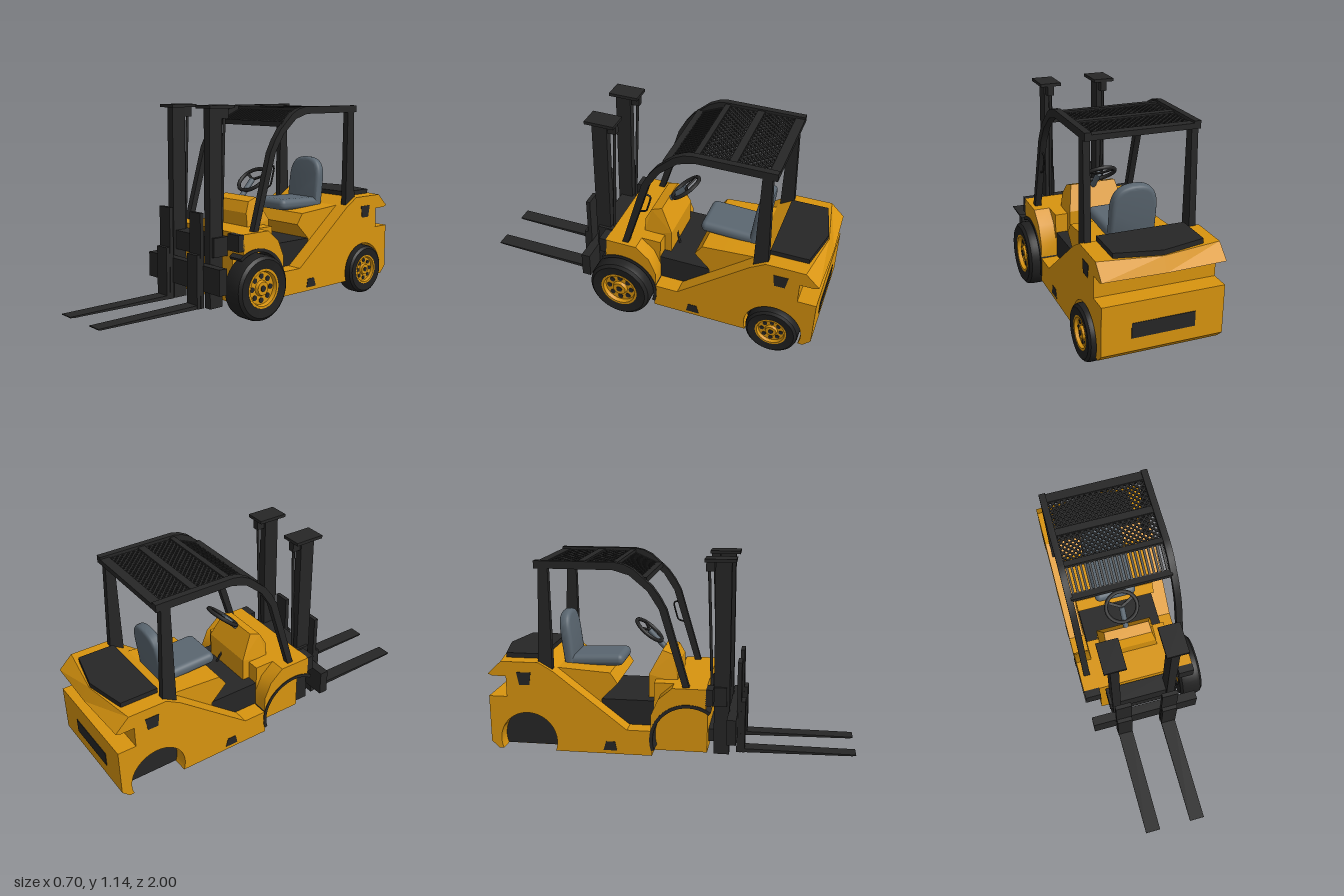
import * as THREE from 'three';
import { toCreasedNormals } from 'three/addons/utils/BufferGeometryUtils.js';
import { RoundedBoxGeometry } from 'three/addons/geometries/RoundedBoxGeometry.js';

export function createModel() {
  const mat = (name, color) => {
    const m = new THREE.MeshStandardMaterial({ color });
    m.name = name;
    return m;
  };
  const yellow = mat('bodyYellow', 0xd8940f);
  const dark = mat('frameBlack', 0x262626);
  const rubber = mat('tyreRubber', 0x202020);
  const grey = mat('seatGrey', 0x5a6670);

  const model = new THREE.Group();
  model.name = 'forklift';
  const truck = new THREE.Group(); // everything is laid out around the truck's centre line
  truck.name = 'truck';
  truck.position.x = -0.0325;
  model.add(truck);

  const add = (name, geo, material, parent = truck) => {
    const m = new THREE.Mesh(geo, material);
    m.name = name;
    parent.add(m);
    return m;
  };
  // box from min/max ranges
  const box = (name, [x0, x1], [y0, y1], [z0, z1], material) => {
    const m = add(name, new THREE.BoxGeometry(x1 - x0, y1 - y0, z1 - z0), material);
    m.position.set((x0 + x1) / 2, (y0 + y1) / 2, (z0 + z1) / 2);
    return m;
  };
  const outline = (pts) => new THREE.Shape(pts.map(([z, y]) => new THREE.Vector2(z, y)));
  // side profile in (z, y) extruded from x0 to x1
  const slab = (shape, x0, x1, steps = 1) => {
    const g = new THREE.ExtrudeGeometry(shape, { depth: x1 - x0, steps, bevelEnabled: false, curveSegments: 24 });
    return toCreasedNormals(g.rotateY(-Math.PI / 2).translate(x1, 0, 0), 0.5);
  };
  const rod = (name, a, b, r, material, sides = 12) => {
    const from = new THREE.Vector3(...a), to = new THREE.Vector3(...b);
    const m = add(name, new THREE.CylinderGeometry(r, r, from.distanceTo(to), sides), material);
    m.position.copy(from).lerp(to, 0.5);
    m.quaternion.setFromUnitVectors(new THREE.Vector3(0, 1, 0), to.sub(from).normalize());
    return m;
  };

  const W = 0.3175, IN = 0.23; // outer and inner half widths
  const frontAxle = [0.105, 0.18], rearAxle = [-0.77, 0.145];

  // centre body: seat base, counterweight and front block
  add('centreBody', slab(outline([[-0.09, 0.09], [-0.09, 0.23], [-0.38, 0.23], [-0.38, 0.37], [-0.29, 0.46],
    [-0.33, 0.52], [-0.62, 0.54], [-0.885, 0.52], [-0.885, 0.39], [-0.985, 0.39], [-0.985, 0.13], [-0.945, 0.09]]), -IN, IN), yellow);
  box('frontBody', [-IN, IN], [0.09, 0.475], [-0.09, 0.2], yellow);
  box('footwell', [-0.225, 0.225], [0.23, 0.37], [-0.38, -0.09], dark);
  box('rearSlot', [-0.165, 0.165], [0.2, 0.28], [-0.988, -0.98], dark);

  // rear hood cap, pointed at the middle of its back edge
  const cap = slab(outline([[-0.62, 0.54], [-0.7, 0.587], [-0.96, 0.587], [-0.995, 0.515], [-0.97, 0.505], [-0.7, 0.505]]), -W, W, 2);
  const cp = cap.attributes.position;
  for (let i = 0; i < cp.count; i++) {
    if (cp.getZ(i) > -0.9) continue;
    const u = Math.abs(cp.getX(i)) / W;
    cp.setZ(i, cp.getZ(i) + u * (cp.getY(i) > 0.55 ? 0.05 : 0.01));
  }
  add('hoodCap', toCreasedNormals(cap, 0.3), yellow);
  const lid = new THREE.ExtrudeGeometry(outline([[-0.232, 0.7], [0.232, 0.7], [0.232, 0.905], [0, 0.955], [-0.232, 0.905]]),
    { depth: 0.03, bevelEnabled: false });
  add('hoodLid', lid.rotateX(-Math.PI / 2).translate(0, 0.583, 0), dark);

  // dashboard cowl, narrowing upwards
  const cowl = slab(outline([[0.03, 0.46], [0.03, 0.55], [0, 0.61], [-0.06, 0.63], [-0.13, 0.5], [-0.13, 0.36], [-0.05, 0.36]]), -0.16, 0.16);
  const kp = cowl.attributes.position;
  for (let i = 0; i < kp.count; i++) kp.setX(i, kp.getX(i) * (1 - Math.max(0, kp.getY(i) - 0.5) * 1.5));
  cowl.computeVertexNormals();
  add('dashCowl', cowl, yellow);

  // side bodies, fenders and pillars, mirrored
  const sideShape = outline([[-0.614, 0.09], [-0.09, 0.09], [-0.09, 0.23], [-0.225, 0.23], [-0.62, 0.54], [-0.885, 0.54],
    [-0.885, 0.39], [-0.985, 0.39], [-0.985, 0.13], [-0.945, 0.09]]);
  sideShape.absarc(...rearAxle, 0.158, Math.PI + 0.355, -0.355, true);
  const linerShape = new THREE.Shape();
  linerShape.absarc(...rearAxle, 0.158, -0.34, Math.PI + 0.34, false);
  const fenderShape = outline([[0.2, 0.36], [0.2, 0.475], [0.02, 0.475], [-0.055, 0.41], [-0.095, 0.32], [-0.095, 0.22]]);
  fenderShape.absarc(...frontAxle, 0.2, Math.PI - 0.2, 1.08, true);
  const lipShape = new THREE.Shape();
  lipShape.absarc(...frontAxle, 0.208, 0.95, Math.PI + 0.3, false);
  lipShape.absarc(...frontAxle, 0.19, Math.PI + 0.3, 0.95, true);
  const guardShape = outline([[0.11, 0.47], [-0.01, 0.89], [-0.045, 0.955], [-0.085, 1.01], [-0.18, 1.095], [-0.23, 1.12], [-0.28, 1.13], [-0.71, 1.13],
    [-0.71, 1.09], [-0.29, 1.09], [-0.205, 1.065], [-0.11, 0.985], [-0.05, 0.89], [0.075, 0.47]]);
  const rearPost = outline([[-0.635, 1.1], [-0.685, 1.1], [-0.71, 0.53], [-0.63, 0.53]]);
  const pocket = outline([[-0.28, 0.11], [-0.29, 0.16], [-0.34, 0.16], [-0.355, 0.11]]);
  const vent = outline([[-0.745, 0.53], [-0.825, 0.53], [-0.812, 0.46], [-0.755, 0.46]]);

  for (const s of [-1, 1]) {
    const side = (name, shape, a, b, material) =>
      add(name, slab(shape, Math.min(s * a, s * b), Math.max(s * a, s * b)), material);
    side('sideBody', sideShape, IN, W, yellow);
    side('rearWheelWell', linerShape, IN - 0.002, IN + 0.004, dark);
    side('frontFender', fenderShape, IN, W, yellow);
    side('fenderLip', lipShape, IN + 0.001, W + 0.004, dark);
    side('sidePocket', pocket, W - 0.004, W + 0.002, dark);
    side('sideVent', vent, W - 0.004, W + 0.002, dark);
    side('guardRail', guardShape, 0.26, 0.295, dark);
    side('guardRearPost', rearPost, 0.26, 0.295, dark);
    const x = (a, b) => [Math.min(s * a, s * b), Math.max(s * a, s * b)];
    box('mudFlap', x(IN, W), [0.385, 0.475], [0.195, 0.237], dark);

    // mast, chains and forks
    box('mastUpright', x(0.134, 0.18), [0.065, 1.13], [0.23, 0.315], dark);
    box('mastCap', x(0.1, 0.215), [1.128, 1.145], [0.175, 0.34], dark);
    box('chainAnchor', x(0.14, 0.175), [1.075, 1.13], [0.18, 0.225], dark);
    rod('liftChain', [s * 0.157, 1.1, 0.195], [s * 0.157, 0.42, 0.217], 0.008, dark);
    box('forkShank', x(0.087, 0.178), [0.08, 0.59], [0.355, 0.378], dark);
    box('forkHeel', x(0.09, 0.176), [0.08, 0.37], [0.37, 0.4], dark);
    const blade = outline([[0.37, 0.08], [0.98, 0.09], [1, 0.093], [1, 0.098], [0.37, 0.101]]);
    side('forkBlade', blade, 0.09, 0.174, dark);
  }
  box('carriage', [-0.31, 0.31], [0.17, 0.31], [0.31, 0.36], dark);
  box('mastCrossbeam', [-0.195, 0.195], [0.345, 0.45], [0.205, 0.3], dark);
  box('mastFoot', [-0.16, 0.16], [0.13, 0.2], [0.2, 0.26], dark);

  // overhead guard: cross beams, front louvres and roof mesh
  for (const [y, z, d] of [[1.105, -0.685, 0.05], [1.108, -0.475, 0.04], [1.108, -0.29, 0.03], [1.037, -0.135, 0.035]])
    box('guardCrossbeam', [-0.27, 0.27], [y - 0.014, y + 0.014], [z - d / 2, z + d / 2], dark);
  for (let i = 0; i < 22; i++) {
    const m = box('louvre', [-0.006, 0.006], [-0.006, 0.006], [-0.088, 0.088], dark);
    m.position.set(-0.25 + i * 0.5 / 21, 1.072, -0.212);
    m.rotation.x = 0.41;
  }
  const z0 = -0.66, z1 = -0.29, half = 0.26, span = z1 - z0;
  for (let c = -half - span + 0.015; c < half; c += 0.031) {
    // each bar runs at 45 degrees, clipped to the roof opening
    const t0 = Math.max(0, -half - c), t1 = Math.min(span, half - c);
    for (const s of [-1, 1]) {
      const m = add('roofMeshBar', new THREE.BoxGeometry(0.009, 0.008, (t1 - t0) * Math.SQRT2), dark);
      m.position.set(s * (c + (t0 + t1) / 2), 1.11, z0 + (t0 + t1) / 2);
      m.rotation.y = s * Math.PI / 4;
    }
  }
  const handle = new THREE.CatmullRomCurve3([[0.7, 0.01], [0.715, -0.03], [0.81, -0.055], [0.825, -0.02]]
    .map(([y, z]) => new THREE.Vector3(0.278, y, z)), false, 'catmullrom', 0.2);
  add('grabHandle', new THREE.TubeGeometry(handle, 16, 0.005, 6), dark);

  // seat
  const cushion = add('seatCushion', new RoundedBoxGeometry(0.24, 0.065, 0.32, 4, 0.03), grey);
  cushion.position.set(0, 0.552, -0.44);
  cushion.rotation.x = -0.04;
  const back = new THREE.Shape();
  back.moveTo(-0.1, 0);
  back.lineTo(0.1, 0);
  back.lineTo(0.1, 0.13);
  back.bezierCurveTo(0.1, 0.22, 0.075, 0.25, 0, 0.25);
  back.bezierCurveTo(-0.075, 0.25, -0.1, 0.22, -0.1, 0.13);
  const backGeo = toCreasedNormals(new THREE.ExtrudeGeometry(back,
    { depth: 0.02, bevelThickness: 0.02, bevelSize: 0.022, bevelSegments: 4, curveSegments: 12 }), 0.9);
  const seatBack = add('seatBack', backGeo, grey);
  seatBack.position.set(0, 0.545, -0.595);
  seatBack.rotation.x = -0.12;

  // steering wheel, column and lever
  const steering = new THREE.Group();
  steering.name = 'steeringWheel';
  steering.position.set(0, 0.71, -0.152);
  steering.rotation.x = -Math.PI / 2 + 0.69 + Math.PI;
  truck.add(steering);
  add('steeringRim', new THREE.TorusGeometry(0.088, 0.011, 8, 28), dark, steering);
  for (let i = 0; i < 3; i++) {
    const spoke = add('steeringSpoke', new THREE.BoxGeometry(0.016, 0.088, 0.008).translate(0, 0.044, 0), dark, steering);
    spoke.rotation.z = i * Math.PI * 2 / 3;
  }
  rod('steeringColumn', [0, 0.71, -0.152], [0, 0.59, -0.04], 0.016, grey);
  rod('driveLever', [0.05, 0.45, -0.12], [0.07, 0.37, -0.15], 0.006, dark);

  // wheels on the left side only
  const addWheel = (name, [z, y], r, x0, x1) => {
    const g = new THREE.Group();
    g.name = name;
    g.position.set((x0 + x1) / 2, y, z);
    g.rotation.z = -Math.PI / 2; // local +y points outwards
    truck.add(g);
    const h = (x1 - x0) / 2, hub = r * 0.6;
    const tyre = [[hub, -h], [r * 0.88, -h], [r * 0.97, -h * 0.8], [r, -h * 0.5], [r, h * 0.5], [r * 0.97, h * 0.8],
      [r * 0.88, h], [hub, h * 0.9], [hub, -h]].map(([a, b]) => new THREE.Vector2(a, b));
    add('tyre', toCreasedNormals(new THREE.LatheGeometry(tyre, 40), 0.6), rubber, g);
    const rim = [[0, -h * 0.8], [hub, -h * 0.8], [hub, h * 0.92], [hub * 0.88, h * 0.92], [hub * 0.82, h * 0.6], [hub * 0.4, h * 0.6],
      [hub * 0.34, h * 0.85], [0, h * 0.85]].map(([a, b]) => new THREE.Vector2(a, b));
    add('rim', toCreasedNormals(new THREE.LatheGeometry(rim, 32), 0.4), yellow, g);
    for (let i = 0; i < 8; i++) {
      const a = i * Math.PI / 4;
      const hole = add('rimHole', new THREE.CylinderGeometry(hub * 0.14, hub * 0.14, 0.006, 12), dark, g);
      hole.position.set(Math.cos(a) * hub * 0.61, h * 0.6, Math.sin(a) * hub * 0.61);
    }
    const axle = add('axleCap', new THREE.CylinderGeometry(hub * 0.16, hub * 0.16, 0.006, 12), dark, g);
    axle.position.y = h * 0.85;
  };
  addWheel('frontWheel', frontAxle, 0.18, 0.245, 0.377);
  addWheel('rearWheel', rearAxle, 0.145, 0.24, 0.347);
  return model;
}
